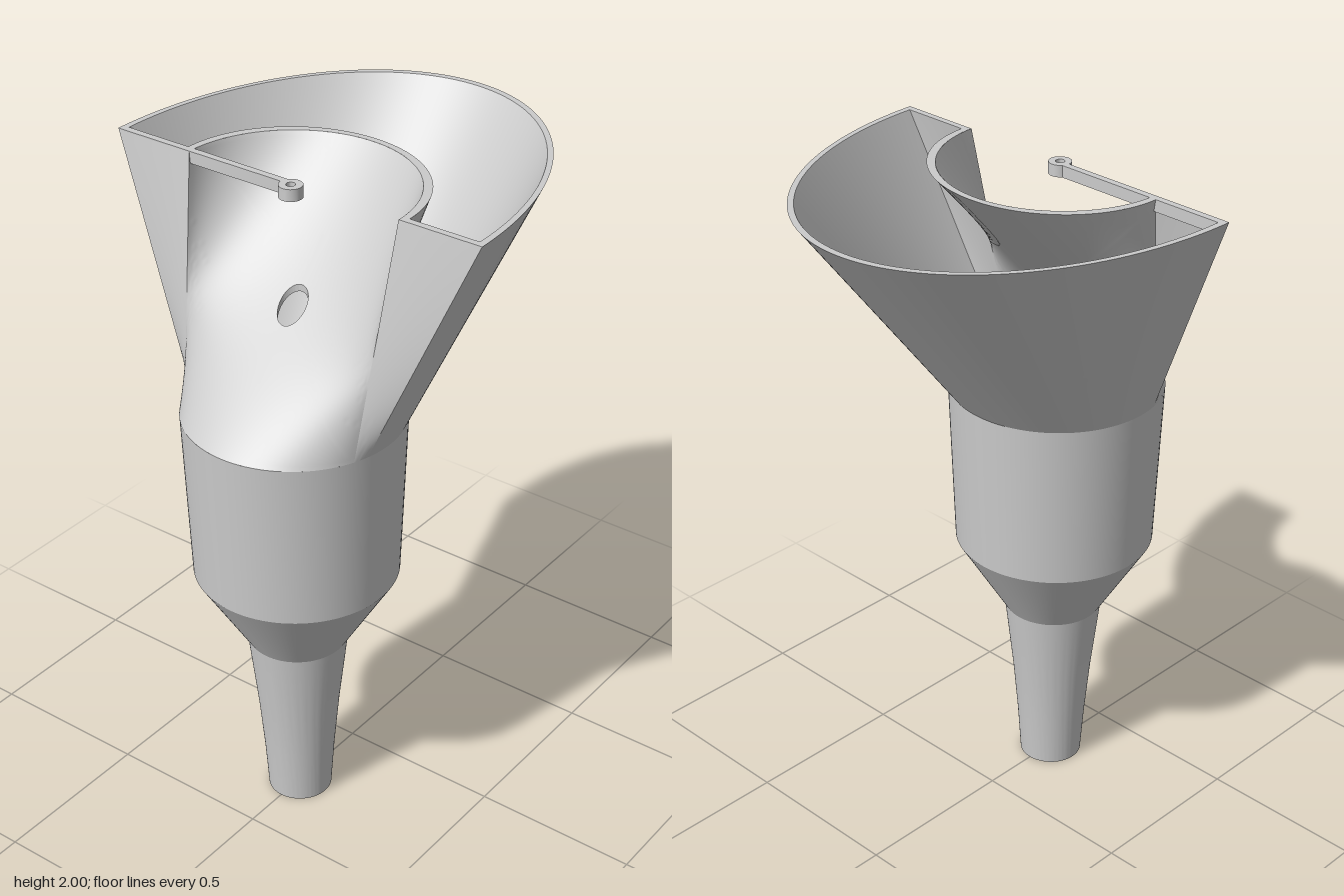
import * as THREE from 'three';
import { toCreasedNormals } from 'three/addons/utils/BufferGeometryUtils.js';

const CX = -0.267;            // axis of the spout
const WALL = 0.02;
const Y0 = 1.32, Y1 = 2;      // bottom and top of the hopper
const A = 104 * Math.PI / 180, B = 112 * Math.PI / 180, H = Math.PI / 2;
const lerp = THREE.MathUtils.lerp;

const material = new THREE.MeshStandardMaterial({ color: 0xcccccc, side: THREE.DoubleSide });

// Grid surface from f(u, v) -> [x, y, z], u and v in 0..1
function surface(f, nu, nv, flip) {
  const pos = [], idx = [];
  for (let j = 0; j <= nv; j++)
    for (let i = 0; i <= nu; i++) pos.push(...f(i / nu, j / nv));
  for (let j = 0; j < nv; j++)
    for (let i = 0; i < nu; i++) {
      const a = j * (nu + 1) + i, b = a + 1, c = a + nu + 1, d = c + 1;
      if (flip) idx.push(a, c, b, b, c, d);
      else idx.push(a, b, c, b, d, c);
    }
  const g = new THREE.BufferGeometry();
  g.setAttribute('position', new THREE.Float32BufferAttribute(pos, 3));
  g.setIndex(idx);
  return toCreasedNormals(g, 0.5);
}

// Straight line from the round collar (at an angle) to a point of the top rim
function loft(angle, topX, topZ, t, inset) {
  const r = 0.316 - inset;
  return [
    CX + lerp(r * Math.cos(angle), topX, t),
    lerp(Y0, Y1, t),
    lerp(r * Math.sin(angle), topZ, t),
  ];
}

// Pieces of the C-shaped hopper section; inset 0 is the outside skin
const bowl = (u, t, o) => {
  const s = 2 * u - 1;
  return loft(s * A, o + (0.847 - 2 * o) * Math.cos(s * H), (0.595 - o) * Math.sin(s * H), t, o);
};
const endPanel = (side) => (u, t, o) => {
  const w = side > 0 ? u : 1 - u;
  return loft(side * lerp(A, B, w), o, side * lerp(0.595 - o, 0.343 + o, w), t, o);
};
const trough = (u, t, o) => {
  const s = 2 * u - 1;
  return loft(Math.PI + s * (Math.PI - B), o + 0.343 * Math.cos(s * H), -(0.343 + o) * Math.sin(s * H), t, o);
};

// Trough patch parameters running from the drain hole (v = 0) to the border (v = 1)
function aroundHole(k, v, o) {
  const p = Math.min(4 * k, 3.99999999), e = Math.floor(p), f = p - e;
  const [u, t] = [[f, 0], [1, f], [1 - f, 1], [0, 1 - f]][e];
  const t0 = (0.316 - o) / 0.659;
  const a = Math.atan2(t - t0, u - 0.5);
  return trough(
    lerp(0.5 + 0.046 * Math.cos(a), u, v),
    lerp(t0 + 0.064 * Math.sin(a), t, v), o);
}

export function createModel() {
  const group = new THREE.Group();
  const add = (name, geometry, parent = group) => {
    const mesh = new THREE.Mesh(geometry, material);
    mesh.name = name;
    parent.add(mesh);
    return mesh;
  };

  // Hollow spout, cone and collar turned in one profile
  const profile = [[0.095, 0], [0.105, 0.15], [0.12, 0.32], [0.147, 0.56], [0.297, 0.81], [0.306, 1.05], [0.316, Y0]];
  const points = [
    ...profile.map(([r, y]) => new THREE.Vector2(r - WALL, y)).reverse(),
    ...profile.map(([r, y]) => new THREE.Vector2(r, y)),
  ];
  add('spout', toCreasedNormals(new THREE.LatheGeometry(points, 96), 0.4)).position.x = CX;

  // Hopper shell: outside skin, inside skin and top rim of each piece
  const hopper = new THREE.Group();
  hopper.name = 'hopper';
  group.add(hopper);
  const pieces = [
    ['bowl', bowl, 96],
    ['leftEndPanel', endPanel(1), 6],
    ['trough', trough, 64],
    ['rightEndPanel', endPanel(-1), 6],
  ];
  for (const [name, f, n] of pieces) {
    if (f !== trough) {
      add(name + 'Outside', surface((u, t) => f(u, t, 0), n, 24, true), hopper);
      add(name + 'Inside', surface((u, t) => f(u, t, WALL), n, 24, false), hopper);
    }
    add(name + 'Rim', surface((u, w) => f(u, 1, w * WALL), n, 1, true), hopper);
  }

  // Trough with its drain hole
  add('troughOutside', surface((k, v) => aroundHole(k, v, 0), 160, 24, false), hopper);
  add('troughInside', surface((k, v) => aroundHole(k, v, WALL), 160, 24, true), hopper);
  add('drainHole', surface((k, w) => aroundHole(k, 0, w * WALL), 160, 1, true), hopper);

  // Guide arm reaching from the rim to an eyelet on the axis
  const arm = add('guideArm', new THREE.BoxGeometry(0.021, 0.035, 0.55));
  arm.position.set(CX + 0.01, Y1 - 0.0175, -0.303);
  const ring = [[0.013, -0.0175], [0.033, -0.0175], [0.033, 0.0175], [0.013, 0.0175], [0.013, -0.0175]];
  const eyelet = add('guideEyelet', toCreasedNormals(
    new THREE.LatheGeometry(ring.map(([r, y]) => new THREE.Vector2(r, y)), 32), 0.5));
  eyelet.position.set(CX, Y1 - 0.0175, 0);

  return group;
}
